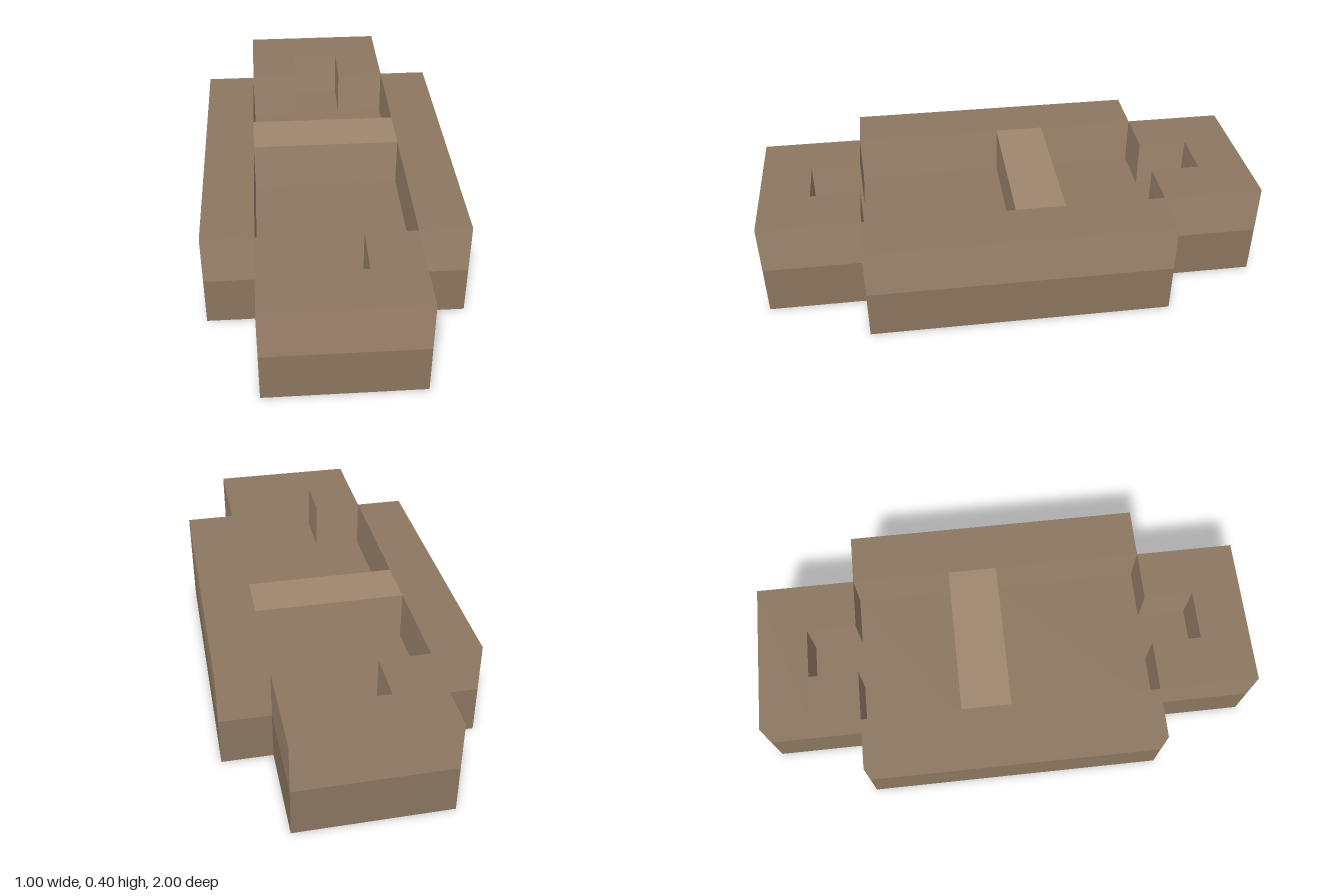
import * as THREE from 'three';
import { mergeGeometries } from 'three/addons/utils/BufferGeometryUtils.js';

const light = new THREE.MeshStandardMaterial({ color: 0xa0876f, side: THREE.DoubleSide });
const dark = new THREE.MeshStandardMaterial({ color: 0x8c7760, side: THREE.DoubleSide });

// Vertical wall along a closed [x, z] loop; the wall faces right of the travel direction
function wall(loop, y0, y1) {
  const v = [];
  loop.forEach(([ax, az], i) => {
    const [bx, bz] = loop[(i + 1) % loop.length];
    v.push(ax, y0, az, bx, y0, bz, bx, y1, bz, ax, y0, az, bx, y1, bz, ax, y1, az);
  });
  const g = new THREE.BufferGeometry();
  g.setAttribute('position', new THREE.Float32BufferAttribute(v, 3));
  g.computeVertexNormals();
  return g;
}

// Horizontal rectangle facing up
function slab(x0, x1, z0, z1, y) {
  return new THREE.PlaneGeometry(x1 - x0, z1 - z0)
    .rotateX(-Math.PI / 2)
    .translate((x0 + x1) / 2, y, (z0 + z1) / 2);
}

export function createModel() {
  const group = new THREE.Group();
  const add = (name, geometry, material) => {
    const mesh = new THREE.Mesh(geometry, material);
    mesh.name = name;
    group.add(mesh);
  };
  const H = 0.4, F = 0.2;

  // Cross-shaped outer shell, open underneath
  const outline = [
    [-0.3, 1], [0.3, 1], [0.3, 0.6], [0.5, 0.6], [0.5, -0.6], [0.3, -0.6],
    [0.3, -1], [-0.3, -1], [-0.3, -0.6], [-0.5, -0.6], [-0.5, 0.6], [-0.3, 0.6],
  ];
  add('lowerOuterWall', wall(outline, 0, F), dark);
  add('upperOuterWall', wall(outline, F, H), light);

  // Flat rim around the pockets, with the crossbar between them
  const rim = [];
  for (const s of [-1, 1]) {
    const span = (x0, x1, a, b) =>
      rim.push(slab(x0, x1, Math.min(s * a, s * b), Math.max(s * a, s * b), H));
    span(-0.3, 0.3, 0.8, 1);
    span(-0.3, -0.1, 0.6, 0.8);
    span(0.1, 0.3, 0.6, 0.8);
    rim.push(slab(s * 0.4 - 0.1, s * 0.4 + 0.1, -0.6, 0.6, H));
  }
  add('topRim', mergeGeometries(rim), dark);
  add('crossbar', slab(-0.3, 0.3, -0.2, 0, H), light);

  // Sunken pockets, each with a narrow notch towards its end
  for (const [name, s, inner] of [['front', 1, 0], ['back', -1, -0.2]]) {
    const loop = [
      [-0.3, inner], [0.3, inner], [0.3, s * 0.6], [0.1, s * 0.6],
      [0.1, s * 0.8], [-0.1, s * 0.8], [-0.1, s * 0.6], [-0.3, s * 0.6],
    ];
    if (s < 0) loop.reverse();
    add(name + 'PocketWall', wall(loop, F, H), light);
    const z = [inner, s * 0.6].sort((a, b) => a - b);
    const n = [s * 0.6, s * 0.8].sort((a, b) => a - b);
    add(name + 'PocketFloor', mergeGeometries([
      slab(-0.3, 0.3, z[0], z[1], F),
      slab(-0.1, 0.1, n[0], n[1], F),
    ]), dark);
  }
  return group;
}
